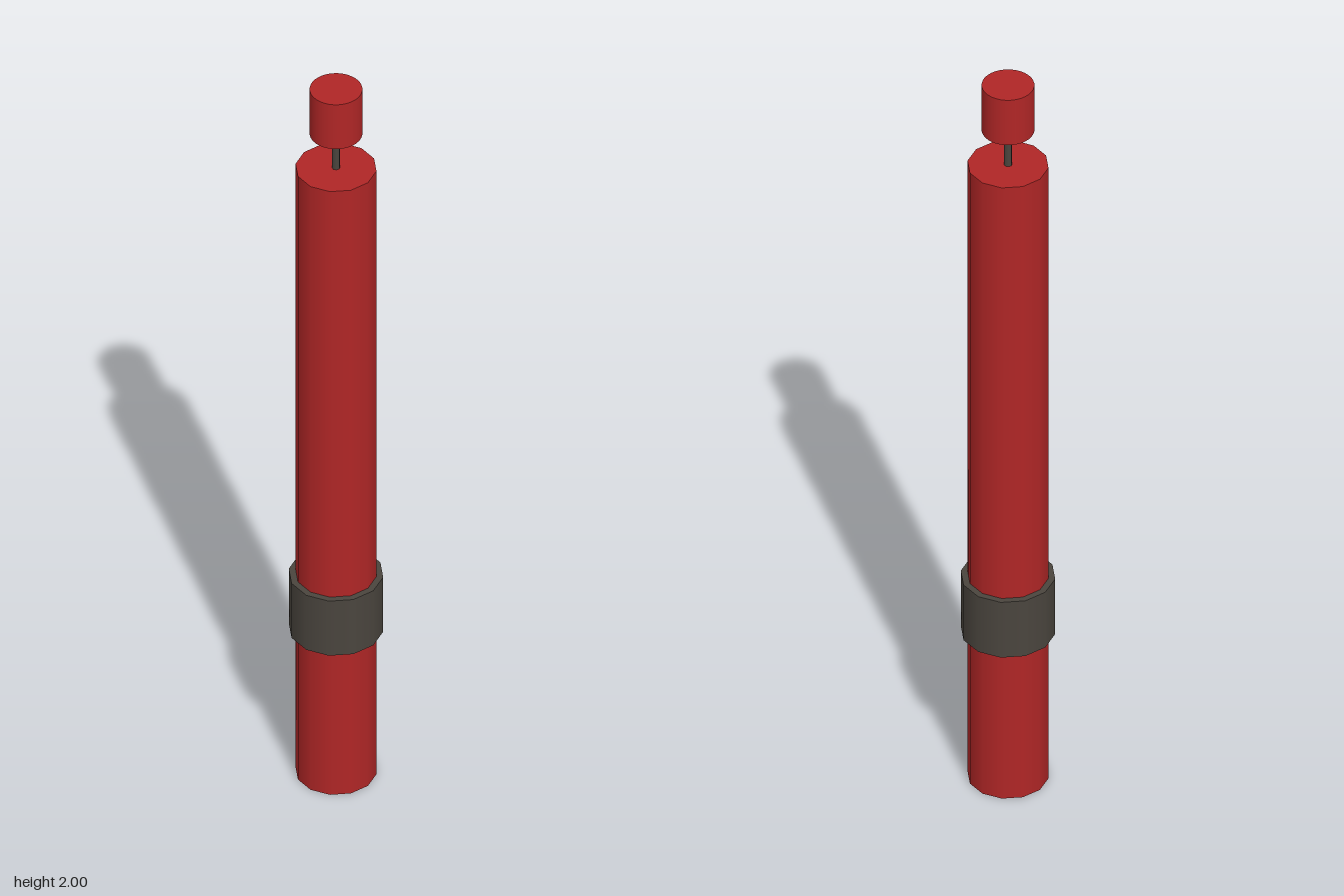
import * as THREE from 'three';

const red = new THREE.MeshStandardMaterial({ color: 0xb02626 });
red.name = 'red';
const darkGrey = new THREE.MeshStandardMaterial({ color: 0x4a453e });
darkGrey.name = 'dark grey';

// Upright cylinder spanning two heights
function upright(name, radius, bottom, top, sides, material) {
  const mesh = new THREE.Mesh(
    new THREE.CylinderGeometry(radius, radius, top - bottom, sides), material);
  mesh.name = name;
  mesh.position.y = (bottom + top) / 2;
  return mesh;
}

export function createModel() {
  const model = new THREE.Group();
  model.name = 'cappedTube';
  model.add(
    upright('body', 0.096, 0, 1.77, 12, red),
    upright('band', 0.112, 0.42, 0.58, 12, darkGrey),
    // The stem runs slightly into the body and cap
    upright('stem', 0.01, 1.75, 1.89, 8, darkGrey),
    upright('cap', 0.062, 1.87, 2, 32, red)
  );
  return model;
}
